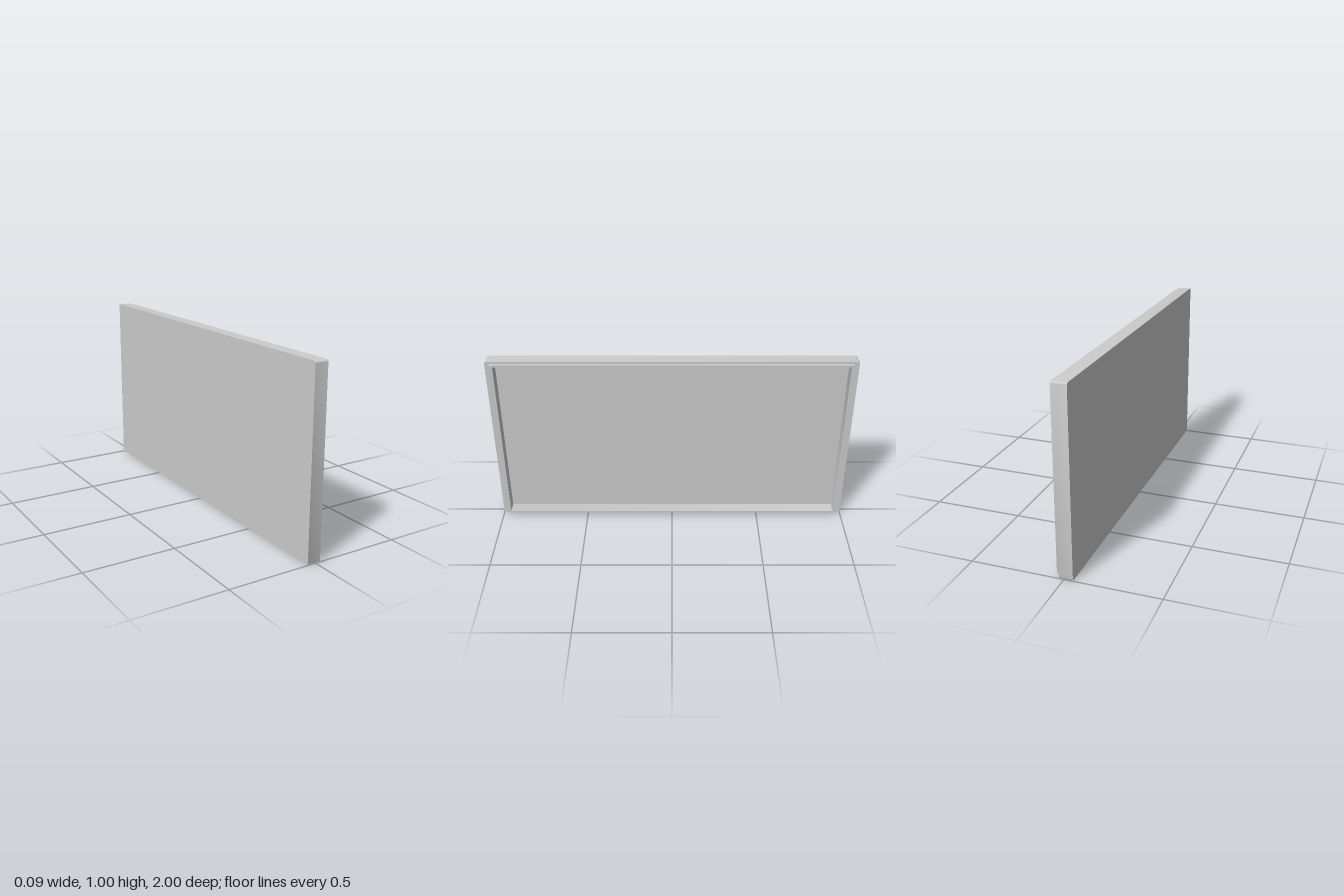
import * as THREE from 'three';
import { toCreasedNormals } from 'three/addons/utils/BufferGeometryUtils.js';

const HALF_Z = 1, HALF_Y = 0.5025, STRETCH = 2, STEPS = 6;

// Rounded rectangle in the yz plane at x, counter-clockwise seen from +x.
// Insets and corner radii are twice as long in z as in y.
function ring(x, inset, radius) {
  const points = [];
  const signs = [[1, 1], [-1, 1], [-1, -1], [1, -1]];
  signs.forEach(([su, sy], corner) => {
    for (let i = 0; i <= STEPS; i++) {
      const a = (corner + i / STEPS) * Math.PI / 2;
      const u = su * (HALF_Z - STRETCH * (inset + radius)) + STRETCH * radius * Math.cos(a);
      const y = HALF_Y + sy * (HALF_Y - inset - radius) + radius * Math.sin(a);
      points.push(new THREE.Vector3(x, y, -u));
    }
  });
  return points;
}

// All points of a ring gathered at the middle, to close a flat end
function centre(x) {
  return Array.from({ length: 4 * (STEPS + 1) }, () => new THREE.Vector3(x, HALF_Y, 0));
}

// Skin between successive rings, leaving out collapsed triangles
function loft(rings) {
  const positions = [];
  const triangle = (a, b, c) => {
    if (new THREE.Triangle(a, b, c).getArea() < 1e-9) return;
    for (const p of [a, b, c]) positions.push(p.x, p.y, p.z);
  };
  for (let i = 0; i < rings.length - 1; i++) {
    const lower = rings[i], upper = rings[i + 1], n = lower.length;
    for (let j = 0; j < n; j++) {
      const k = (j + 1) % n;
      triangle(lower[j], lower[k], upper[k]);
      triangle(lower[j], upper[k], upper[j]);
    }
  }
  const geometry = new THREE.BufferGeometry();
  geometry.setAttribute('position', new THREE.Float32BufferAttribute(positions, 3));
  return toCreasedNormals(geometry, Math.PI / 6);
}

export function createModel() {
  const group = new THREE.Group();
  group.name = 'tray';
  const material = new THREE.MeshStandardMaterial({ color: 0xcccccc });

  // Shallow tray open towards +x, with a stepped lip around its opening
  const shell = new THREE.Mesh(loft([
    centre(-0.047),
    ring(-0.047, 0, 0.009),        // back
    ring(0.027, 0, 0.009),         // outer wall
    ring(0.027, 0.011, 0.009),     // step
    ring(0.046, 0.011, 0.009),     // lip
    ring(0.046, 0.0225, 0.0005),   // rim
    ring(-0.02, 0.0225, 0.0005),   // inner wall
    centre(-0.02),                 // floor
  ]), material);
  shell.name = 'trayShell';
  group.add(shell);
  return group;
}
